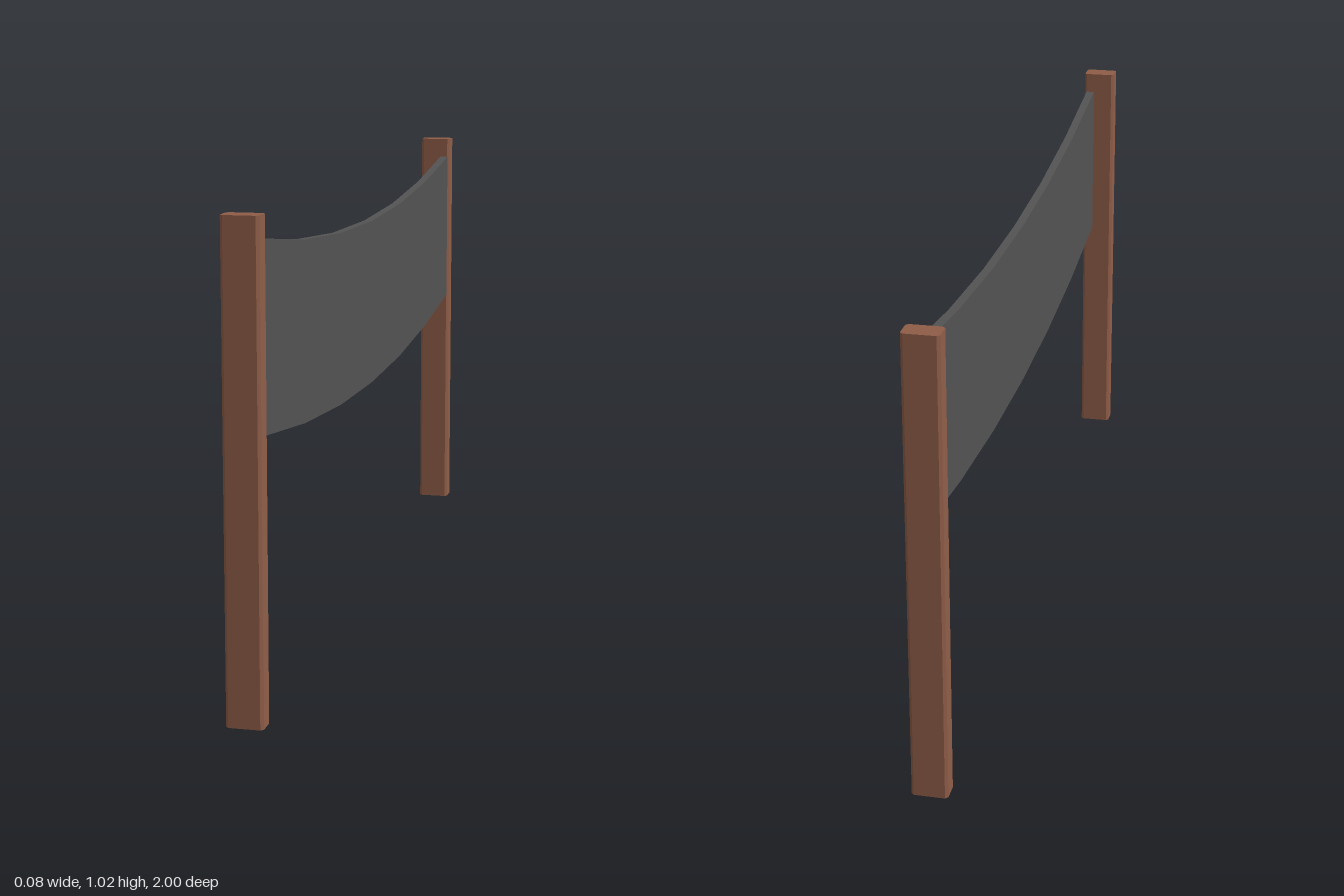
import * as THREE from 'three';

export function createModel() {
  const model = new THREE.Group();
  model.name = 'hangingSheetBetweenPosts';

  const wood = new THREE.MeshStandardMaterial({ color: 0x8f5d48 });
  wood.name = 'brown wood';
  const cloth = new THREE.MeshStandardMaterial({ color: 0x535353 });
  cloth.name = 'dark grey cloth';

  // Upright post: a rectangle with bevelled long edges
  const height = 1.02, hx = 0.039, hz = 0.025, c = 0.006;
  const section = new THREE.Shape([
    [hx - c, -hz], [hx, -hz + c], [hx, hz - c], [hx - c, hz],
    [-hx + c, hz], [-hx, hz - c], [-hx, -hz + c], [-hx + c, -hz],
  ].map(([x, y]) => new THREE.Vector2(x, y)));
  const postGeometry = new THREE.ExtrudeGeometry(section, { depth: height, bevelEnabled: false });
  postGeometry.rotateX(-Math.PI / 2);
  for (const [name, side] of [['frontPost', 1], ['backPost', -1]]) {
    const post = new THREE.Mesh(postGeometry, wood);
    post.name = name;
    post.position.z = side * (1 - hz);
    model.add(post);
  }

  // Sagging sheet: a box in six lengths, dropped along a parabola
  const halfLength = 0.95, sag = 0.072;
  const sheetGeometry = new THREE.BoxGeometry(0.02, 0.386, halfLength * 2, 1, 1, 6);
  const p = sheetGeometry.attributes.position;
  for (let i = 0; i < p.count; i++) {
    const t = p.getZ(i) / halfLength;
    p.setY(i, p.getY(i) + sag * t * t);
  }
  sheetGeometry.computeVertexNormals();
  const sheet = new THREE.Mesh(sheetGeometry, cloth);
  sheet.name = 'saggingSheet';
  sheet.position.set(0.024, 0.706, 0);
  model.add(sheet);

  return model;
}
